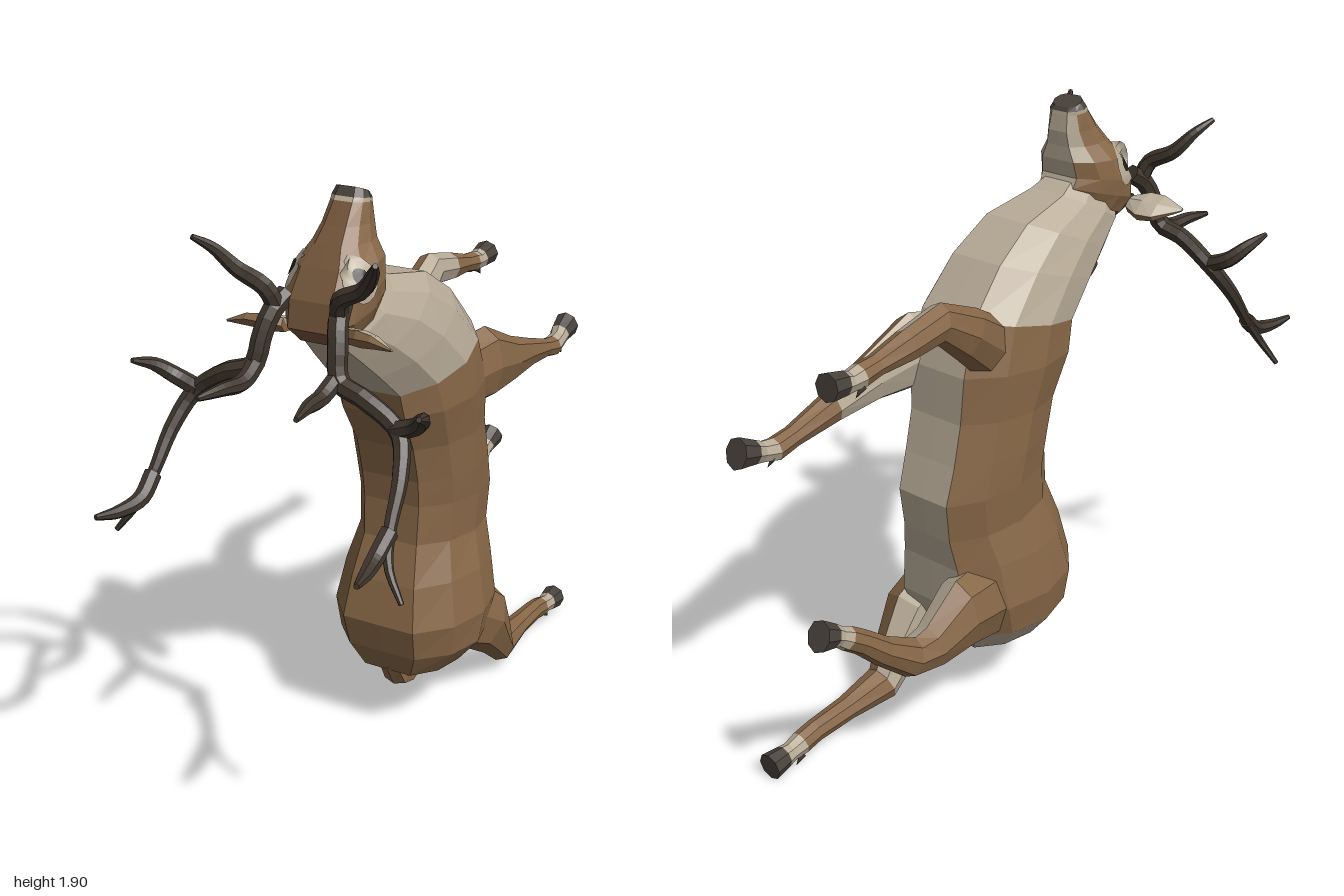
import * as THREE from 'three';

const V = (x, y, z) => new THREE.Vector3(x, y, z);
const X = V(1, 0, 0);

// Oval ring of n points around c, with half axes u and v (u x v points along the loft);
// flat > 1 presses the two u sides flat
function ring(c, u, v, n, flat = 1) {
  return Array.from({ length: n }, (_, i) => {
    const a = (i / n) * Math.PI * 2;
    const k = THREE.MathUtils.clamp(Math.cos(a) * flat, -1, 1);
    return c.clone().addScaledVector(u, k).addScaledVector(v, Math.sin(a));
  });
}

// Faceted skin over rings; pick(segment, side) gives the material index
function loft(name, rings, mats, pick = () => 0) {
  const faces = mats.map(() => []);
  const add = (m, ...pts) => pts.forEach((p) => faces[m].push(p.x, p.y, p.z));
  const n = rings[0].length, last = rings.length - 1;
  const mid = (r) => r.reduce((s, p) => s.add(p), V(0, 0, 0)).divideScalar(n);
  const c0 = mid(rings[0]), c1 = mid(rings[last]);
  for (let i = 0; i < n; i++) {
    const k = (i + 1) % n;
    for (let j = 0; j < last; j++) {
      const m = pick(j, i), a = rings[j], b = rings[j + 1];
      add(m, a[i], a[k], b[k], a[i], b[k], b[i]);
    }
    add(pick(0, i), c0, rings[0][k], rings[0][i]);
    add(pick(last - 1, i), c1, rings[last][i], rings[last][k]);
  }
  const geo = new THREE.BufferGeometry();
  geo.setAttribute('position', new THREE.Float32BufferAttribute(faces.flat(), 3));
  let start = 0;
  faces.forEach((f, m) => {
    if (f.length) geo.addGroup(start, f.length / 3, m);
    start += f.length / 3;
  });
  geo.computeVertexNormals();
  const mesh = new THREE.Mesh(geo, mats);
  mesh.name = name;
  return mesh;
}

// Trunk section from its back point, its belly point and its half width
function section([by, bz, fy, fz, w]) {
  const back = V(0, by, bz), front = V(0, fy, fz);
  return ring(back.clone().add(front).multiplyScalar(0.5), back.sub(front).multiplyScalar(0.5), V(w, 0, 0), 12, 1.15);
}

// Rings along a path of [x, y, z, half height, half width]
function limbRings(path, n) {
  const c = path.map((p) => V(p[0], p[1], p[2]));
  return path.map((p, j) => {
    const t = c[Math.min(j + 1, c.length - 1)].clone().sub(c[Math.max(j - 1, 0)]);
    t.x = 0;
    return ring(c[j], X.clone().cross(t.normalize()).multiplyScalar(p[3]), V(p[4], 0, 0), n);
  });
}

// Tapered curved prong
function prong(name, pts, r0, r1, mat) {
  const curve = new THREE.CatmullRomCurve3(pts), seg = pts.length * 3;
  const f = curve.computeFrenetFrames(seg, false);
  const rings = Array.from({ length: seg + 1 }, (_, j) => {
    const r = r0 + (r1 - r0) * (j / seg) ** 2.5;
    return ring(curve.getPointAt(j / seg), f.normals[j].clone().multiplyScalar(r), f.binormals[j].clone().multiplyScalar(r), 7);
  });
  return loft(name, rings, [mat]);
}

// Thin disc laid over the side of a mesh
function patch(name, target, side, y, z, ry, rz, lift, mat) {
  const geo = new THREE.RingGeometry(0.001, 1, 14, 4);
  const p = geo.attributes.position, ray = new THREE.Raycaster();
  for (let i = 0; i < p.count; i++) {
    const py = y + p.getY(i) * ry, pz = z - p.getX(i) * rz * side;
    ray.set(V(side, py, pz), V(-side, 0, 0));
    const hit = ray.intersectObject(target)[0];
    p.setXYZ(i, (hit ? hit.point.x : side * 0.08) + side * lift, py, pz);
  }
  geo.computeVertexNormals();
  const mesh = new THREE.Mesh(geo, mat);
  mesh.name = name;
  return mesh;
}

export function createModel() {
  const g = new THREE.Group();
  g.name = 'deer';
  const mat = (name, color) => Object.assign(new THREE.MeshStandardMaterial({ color }), { name });
  const brown = mat('brown fur', 0x876747);
  const cream = mat('cream fur', 0xb8ab97);
  const dark = mat('dark brown fur', 0x74563a);
  const antler = mat('dark antler', 0x3f362d);
  const hoof = mat('hoof and nose', 0x48413b);
  const black = mat('eye black', 0x241f1b);
  const coat = [brown, cream, hoof, dark];

  // Trunk and neck, from rump to throat
  const trunk = [
    [0.2, 0.02, 0.2, -0.2, 0.08], [0.24, 0.1, 0.23, -0.26, 0.17], [0.33, 0.14, 0.31, -0.31, 0.24],
    [0.44, 0.165, 0.42, -0.36, 0.255], [0.58, 0.13, 0.57, -0.365, 0.225], [0.71, 0.08, 0.67, -0.38, 0.19],
    [0.84, 0.07, 0.8, -0.395, 0.195], [0.93, 0.08, 0.92, -0.36, 0.2], [1.05, 0.11, 1.05, -0.33, 0.2],
    [1.18, 0.18, 1.2, -0.32, 0.215], [1.26, 0.2, 1.36, -0.27, 0.205], [1.35, 0.3, 1.5, -0.14, 0.185],
    [1.42, 0.38, 1.59, 0, 0.16], [1.49, 0.46, 1.63, 0.19, 0.125], [1.53, 0.47, 1.66, 0.25, 0.1],
  ];
  g.add(loft('body', trunk.map(section), coat, (j, i) => {
    if (j >= 10 || i === 5 || i === 6) return 1;
    return (j === 0 && i > 1 && i < 10) || (j === 1 && i > 2 && i < 9) ? 1 : 0;
  }));

  // Head, nose pointing up: dark forehead, pale jaw, dark nose
  const skull = [
    [1.5, 0.49, 1.6, 0.25, 0.11], [1.55, 0.54, 1.64, 0.235, 0.13], [1.63, 0.522, 1.67, 0.25, 0.135],
    [1.71, 0.47, 1.72, 0.24, 0.122], [1.765, 0.425, 1.765, 0.24, 0.085], [1.81, 0.385, 1.81, 0.237, 0.07],
    [1.87, 0.34, 1.86, 0.245, 0.06], [1.882, 0.332, 1.87, 0.247, 0.06], [1.908, 0.315, 1.882, 0.255, 0.05],
  ];
  const head = loft('head', skull.map(section), coat, (j, i) => {
    if (j === 7) return 2;
    if (j === 6 || i === 5 || i === 6) return 1;
    if (i === 0 || i === 11) return 3;
    return j > 2 && (i === 4 || i === 7) ? 1 : 0;
  });
  g.add(head);

  // Tail
  g.add(loft('tail', limbRings([
    [0, 0.26, 0.08, 0.03, 0.04], [0, 0.18, 0.04, 0.025, 0.045], [0, 0.15, -0.03, 0.018, 0.035], [0, 0.14, -0.12, 0.006, 0.012],
  ], 6), [brown]));

  // Legs: cream inside the upper part and at the pastern, dark hoof at the end
  const legs = {
    leftFrontLeg: [
      [0.09, 1.2, -0.12, 0.11, 0.08], [0.14, 1.215, -0.28, 0.125, 0.075], [0.15, 1.175, -0.45, 0.08, 0.052],
      [0.14, 1.145, -0.62, 0.05, 0.045], [0.135, 1.11, -0.78, 0.032, 0.034], [0.135, 1.095, -0.85, 0.036, 0.036],
      [0.135, 1.105, -0.9, 0.032, 0.031], [0.13, 1.117, -0.93, 0.036, 0.036], [0.13, 1.135, -0.99, 0.048, 0.044]],
    rightFrontLeg: [
      [-0.09, 1.23, -0.15, 0.1, 0.07], [-0.14, 1.36, -0.34, 0.08, 0.06], [-0.15, 1.435, -0.47, 0.06, 0.05],
      [-0.15, 1.41, -0.6, 0.048, 0.045], [-0.15, 1.39, -0.72, 0.032, 0.034], [-0.15, 1.38, -0.78, 0.036, 0.036],
      [-0.15, 1.375, -0.82, 0.031, 0.031], [-0.15, 1.378, -0.84, 0.036, 0.035], [-0.15, 1.385, -0.9, 0.042, 0.044]],
    leftHindLeg: [
      [0.1, 0.4, -0.12, 0.15, 0.11], [0.145, 0.29, -0.29, 0.12, 0.095], [0.15, 0.18, -0.38, 0.08, 0.07],
      [0.145, 0.095, -0.455, 0.062, 0.058], [0.14, 0.088, -0.62, 0.038, 0.042], [0.14, 0.078, -0.76, 0.036, 0.036],
      [0.14, 0.065, -0.82, 0.037, 0.036], [0.14, 0.056, -0.865, 0.031, 0.031], [0.14, 0.053, -0.89, 0.036, 0.035], [0.14, 0.048, -0.95, 0.044, 0.044]],
    rightHindLeg: [
      [-0.1, 0.42, -0.2, 0.14, 0.11], [-0.145, 0.45, -0.4, 0.12, 0.088], [-0.15, 0.4, -0.53, 0.075, 0.064],
      [-0.15, 0.405, -0.62, 0.062, 0.054], [-0.15, 0.49, -0.74, 0.045, 0.044], [-0.15, 0.56, -0.82, 0.038, 0.038],
      [-0.15, 0.6, -0.875, 0.037, 0.036], [-0.15, 0.62, -0.905, 0.031, 0.031], [-0.15, 0.632, -0.925, 0.036, 0.035], [-0.15, 0.655, -0.978, 0.048, 0.044]],
  };
  for (const [name, path] of Object.entries(legs)) {
    const hoofSeg = path.length - 2, s = Math.sign(path[0][0]);
    const under = name.includes('Hind') ? (s > 0 ? 4 : 3) : -1;
    g.add(loft(name, limbRings(path, 8), coat, (j, i) => {
      if (j === hoofSeg) return 2;
      if (j >= hoofSeg - 2) return 1;
      return j < 3 && i !== under && (i < 4 ? 1 : -1) === -s ? 1 : 0;
    }));
    // Dew claws
    const [x, y, z] = path[hoofSeg - 1];
    for (const d of [-1, 1]) {
      const claw = new THREE.Mesh(new THREE.ConeGeometry(0.012, 0.04, 5), hoof);
      claw.name = 'dewClaw';
      claw.position.set(x + d * 0.018, y - 0.032, z + 0.02);
      claw.rotation.x = -2.3;
      g.add(claw);
    }
  }

  for (const s of [1, -1]) {
    const side = s > 0 ? 'left' : 'right';
    // Ear: flat leaf tilted back, pale on its upper face
    const ear = [[0.1, 0.49, 0.02, 0.025], [0.15, 0.495, 0.022, 0.05], [0.2, 0.505, 0.016, 0.048], [0.265, 0.54, 0.003, 0.006]];
    g.add(loft(side + 'Ear', ear.map(([x, z, h, w]) =>
      ring(V(s * x, 1.54, z), V(0, h, -h * 0.6), V(0, s * w * 0.6, s * w), 6)), coat, (j, i) => (i === 0 || i === 5 ? 1 : 0)));

    // Eye with a pale surround
    g.add(patch(side + 'EyeSurround', head, s, 1.685, 0.435, 0.066, 0.054, 0.004, cream));
    g.add(patch(side + 'Eye', head, s, 1.69, 0.433, 0.026, 0.02, 0.008, black));

    // Antler: main beam and its tines
    const P = (...p) => p.map(([x, y, z]) => V(s * x, y, z));
    const rack = new THREE.Group();
    rack.name = side + 'Antler';
    rack.add(
      prong('beam', P([0.09, 1.635, 0.5], [0.105, 1.6, 0.55], [0.12, 1.54, 0.58], [0.14, 1.45, 0.605], [0.22, 1.42, 0.615], [0.33, 1.345, 0.62],
        [0.37, 1.25, 0.685], [0.385, 1.13, 0.77], [0.41, 1.05, 0.82], [0.465, 0.97, 0.85]), 0.03, 0.008, antler),
      prong('browTine', P([0.1, 1.61, 0.54], [0.12, 1.665, 0.56], [0.2, 1.71, 0.575], [0.25, 1.77, 0.61], [0.285, 1.81, 0.66]), 0.027, 0.008, antler),
      prong('innerTine', P([0.13, 1.46, 0.6], [0.125, 1.425, 0.68], [0.135, 1.43, 0.76], [0.155, 1.43, 0.85]), 0.026, 0.008, antler),
      prong('outerTine', P([0.32, 1.35, 0.62], [0.39, 1.38, 0.63], [0.43, 1.42, 0.67], [0.455, 1.45, 0.74]), 0.027, 0.008, antler),
      prong('endTine', P([0.385, 1.13, 0.77], [0.38, 1.08, 0.84], [0.395, 1.07, 0.92], [0.415, 1.08, 0.995]), 0.026, 0.008, antler),
    );
    g.add(rack);
  }
  return g;
}
